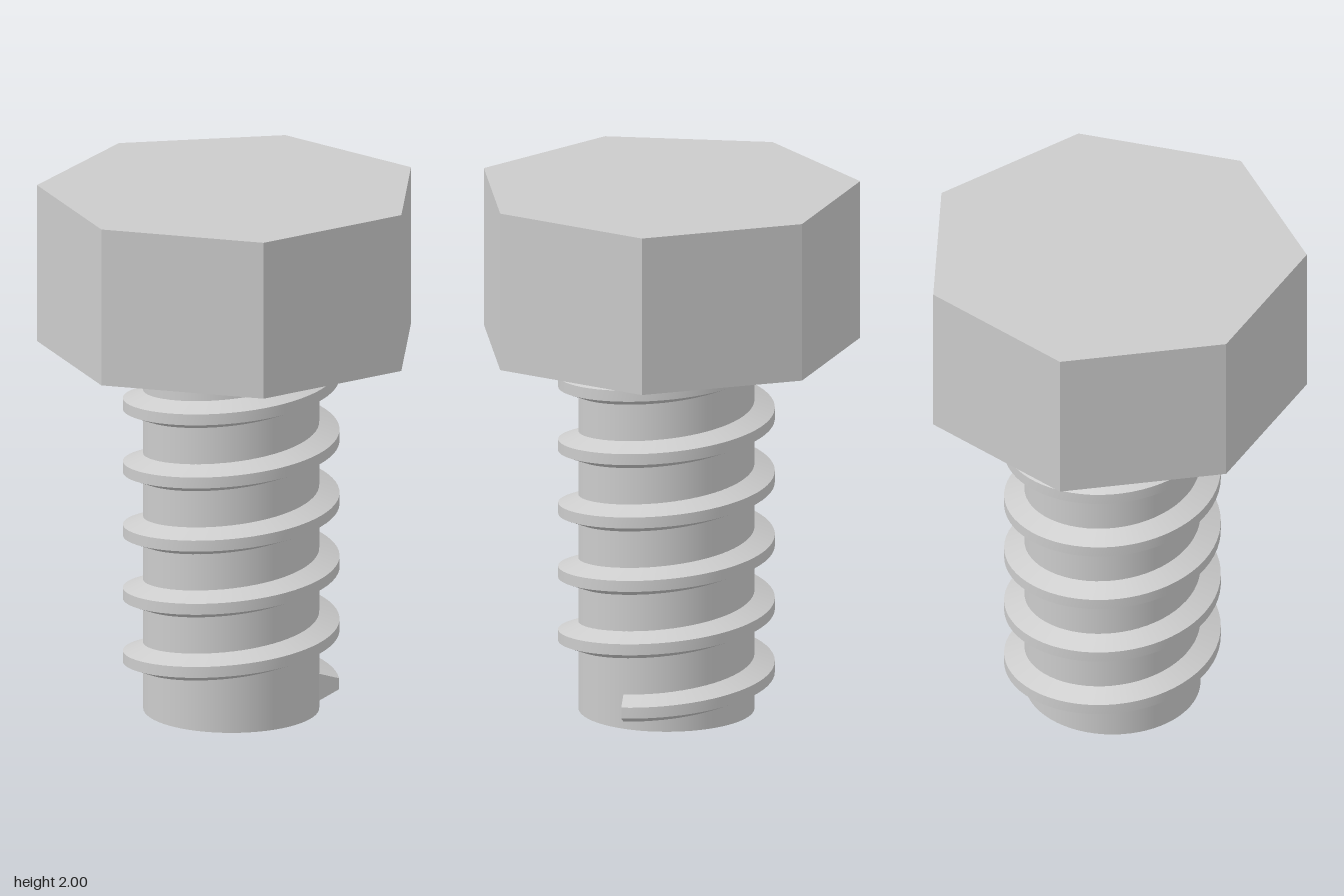
import * as THREE from 'three';
import { toCreasedNormals } from 'three/addons/utils/BufferGeometryUtils.js';

const AXIS_Z = 0.035;      // bolt axis; the seven-sided head is not symmetric in z
const HEAD_BOTTOM = 1.4;
const PITCH = 0.243;

// Helical ridge with a trapezoid section, rising from the tip up to the head
function threadGeometry() {
  // radius, height, angular lead of each corner (the lead slants the cut end)
  const section = [
    [0.312, -0.057, 0], [0.4, -0.021, 0.1], [0.4, 0.021, 0.1], [0.312, 0.057, 0],
  ];
  const start = 0.27, end = 5.55 * Math.PI * 2, steps = 360;
  const positions = [], index = [];
  for (let i = 0; i <= steps; i++) {
    const t = start + (end - start) * i / steps;
    for (const [r, h, lead] of section) {
      const a = t + lead;
      positions.push(r * Math.cos(a), 0.068 + PITCH * a / (Math.PI * 2) + h, -r * Math.sin(a));
    }
  }
  for (let i = 0; i < steps; i++) {
    for (let k = 0; k < 4; k++) {
      const a0 = i * 4 + k, a1 = i * 4 + (k + 1) % 4;
      const b0 = a0 + 4, b1 = a1 + 4;
      index.push(a0, b0, b1, a0, b1, a1);
    }
  }
  const e = steps * 4;
  index.push(0, 1, 2, 0, 2, 3, e, e + 2, e + 1, e, e + 3, e + 2);
  const geometry = new THREE.BufferGeometry();
  geometry.setAttribute('position', new THREE.Float32BufferAttribute(positions, 3));
  geometry.setIndex(index);
  return toCreasedNormals(geometry, 0.4);
}

export function createModel() {
  const model = new THREE.Group();
  model.name = 'bolt';
  const add = (name, geometry, y, options = {}) => {
    const mesh = new THREE.Mesh(geometry,
      new THREE.MeshStandardMaterial({ color: 0xcccccc, ...options }));
    mesh.name = name;
    mesh.position.set(0, y, AXIS_Z);
    model.add(mesh);
  };

  // Seven-sided head with one corner at the back and a flat at the front
  add('head', new THREE.CylinderGeometry(0.718, 0.718, 2 - HEAD_BOTTOM, 7, 1, false, Math.PI),
    (2 + HEAD_BOTTOM) / 2, { flatShading: true });

  // Hollow shank, open at the tip
  add('shank', new THREE.CylinderGeometry(0.325, 0.325, HEAD_BOTTOM, 64, 1, true),
    HEAD_BOTTOM / 2, { side: THREE.DoubleSide });

  add('thread', threadGeometry(), 0);
  return model;
}
